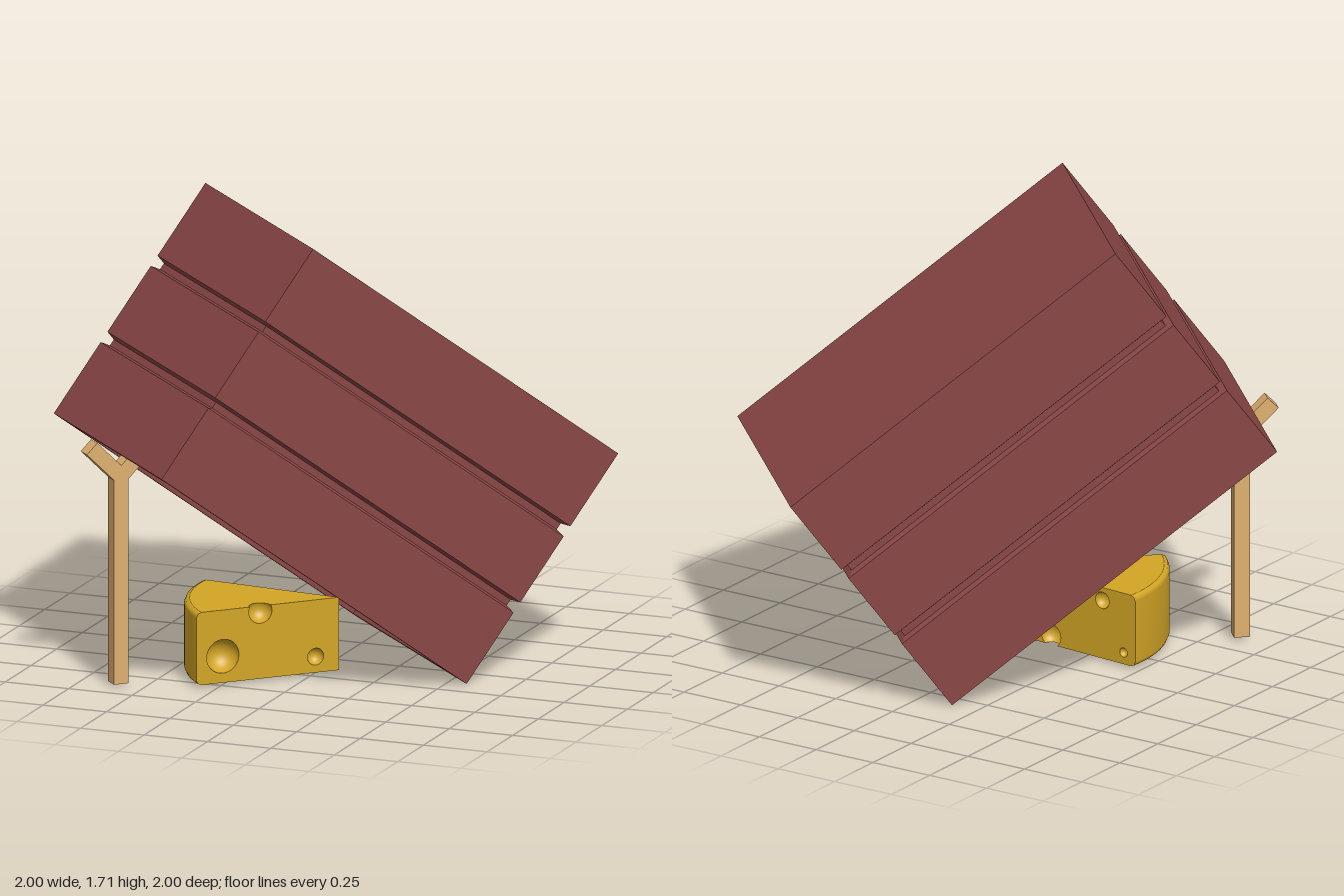
import * as THREE from 'three';

const mat = (name, color, side = THREE.FrontSide) => {
  const m = new THREE.MeshStandardMaterial({ color, side });
  m.name = name;
  return m;
};

const add = (parent, name, geometry, material) => {
  const mesh = new THREE.Mesh(geometry, material);
  mesh.name = name;
  parent.add(mesh);
  return mesh;
};

// Hollow, open-bottomed box: rectangular loops swept along an [inset, y] profile
function crateGeometry(length, width, height, wall, grooves) {
  const profile = [[wall, height - wall], [wall, 0], [0, 0]];
  for (const g of grooves) {
    profile.push([0, g], [0.026, g + 0.008], [0.026, g + 0.034], [0, g + 0.045]);
  }
  profile.push([0, height]);
  const rings = profile.map(([inset, y]) => {
    const a = length / 2 - inset, b = width / 2 - inset;
    return [[-a, y, b], [a, y, b], [a, y, -b], [-a, y, -b]];
  });
  const pos = [];
  const quad = (a, b, c, d) => pos.push(...a, ...b, ...c, ...a, ...c, ...d);
  for (let i = 0; i + 1 < rings.length; i++) {
    for (let k = 0; k < 4; k++) {
      const n = (k + 1) % 4;
      quad(rings[i][k], rings[i][n], rings[i + 1][n], rings[i + 1][k]);
    }
  }
  quad(...rings[rings.length - 1]);
  quad(...[...rings[0]].reverse());
  const geo = new THREE.BufferGeometry();
  geo.setAttribute('position', new THREE.Float32BufferAttribute(pos, 3));
  geo.computeVertexNormals();
  return geo;
}

// Wedge dimensions and round dents: u from the tip, v up, radius r
const R = 0.565, H = 0.275, BEVEL = 0.02, ANGLE = THREE.MathUtils.degToRad(50);
const rind = [[R - BEVEL, 0], [R - 0.006, 0.006], [R, BEVEL],
  [R, H - BEVEL], [R - 0.006, H - 0.006], [R - BEVEL, H]];
const dentsA = [{ u: 0.46, v: 0.10, r: 0.064 }, { u: 0.092, v: 0.06, r: 0.032 }, { u: 0.311, v: 0.255, r: 0.046 }];
const dentsB = [{ u: 0.17, v: 0.035, r: 0.045 }, { u: 0.41, v: 0.225, r: 0.032 }, { u: 0.51, v: 0.045, r: 0.018 }];
const cutsBottom = d => d.v < d.r;
const cutsTop = d => H - d.v < d.r;

// Flat cut side, with holes and edge notches where the dents are
function sideShape(dents) {
  const s = new THREE.Shape();
  s.moveTo(0, 0);
  for (const d of dents.filter(cutsBottom)) {
    const a = Math.asin(d.v / d.r);
    s.lineTo(d.u - d.r * Math.cos(a), 0);
    s.absarc(d.u, d.v, d.r, Math.PI + a, -a, true);
  }
  rind.forEach(([x, y]) => s.lineTo(x, y));
  for (const d of dents.filter(cutsTop)) {
    const a = Math.asin((H - d.v) / d.r);
    s.lineTo(d.u + d.r * Math.cos(a), H);
    s.absarc(d.u, d.v, d.r, a, Math.PI - a, true);
  }
  s.lineTo(0, H);
  s.closePath();
  for (const d of dents.filter(d => !cutsTop(d) && !cutsBottom(d))) {
    s.holes.push(new THREE.Path().absarc(d.u, d.v, d.r, 0, Math.PI * 2, true));
  }
  return s;
}

// Sector-shaped top or bottom, notched where dents break through
function capShape(y, cuts) {
  const chord = d => Math.sqrt(d.r ** 2 - (y - d.v) ** 2);
  const s = new THREE.Shape();
  s.moveTo(0, 0);
  for (const d of dentsA.filter(cuts)) {
    s.lineTo(d.u - chord(d), 0);
    s.absarc(d.u, 0, chord(d), Math.PI, 0, true);
  }
  s.lineTo(R - BEVEL, 0);
  s.absarc(0, 0, R - BEVEL, 0, ANGLE, false);
  for (const d of dentsB.filter(cuts)) {
    const c = Math.cos(ANGLE), n = Math.sin(ANGLE);
    s.lineTo((d.u + chord(d)) * c, (d.u + chord(d)) * n);
    s.absarc(d.u * c, d.u * n, chord(d), ANGLE, ANGLE - Math.PI, true);
  }
  s.closePath();
  return s;
}

function cheeseWedge(material) {
  const group = new THREE.Group();
  group.name = 'cheeseWedge';
  // Cut sides with spherical dents
  [[dentsA, 0, 0], [dentsB, -ANGLE, Math.PI]].forEach(([dents, turn, phi]) => {
    const side = new THREE.Group();
    side.name = 'cheeseSide';
    side.rotation.y = turn;
    add(side, 'cutFace', new THREE.ShapeGeometry(sideShape(dents), 20), material);
    for (const d of dents) {
      const t0 = cutsTop(d) ? Math.acos((H - d.v) / d.r) : 0;
      const t1 = cutsBottom(d) ? Math.acos(-d.v / d.r) : Math.PI;
      const bowl = new THREE.SphereGeometry(d.r, 20, 16, phi, Math.PI, t0, t1 - t0);
      add(side, 'cheeseHole', bowl, material).position.set(d.u, d.v, 0);
    }
    group.add(side);
  });
  // Top and bottom
  [[0, cutsBottom], [H, cutsTop]].forEach(([y, cuts]) => {
    const cap = new THREE.ShapeGeometry(capShape(y, cuts), 24).rotateX(Math.PI / 2);
    add(group, y ? 'cheeseTop' : 'cheeseBottom', cap, material).position.y = y;
  });
  // Curved rind with softened rims
  const points = rind.map(([x, y]) => new THREE.Vector2(x, y));
  add(group, 'cheeseRind', new THREE.LatheGeometry(points, 24, Math.PI / 2 - ANGLE, ANGLE), material);
  return group;
}

export function createModel() {
  const model = new THREE.Group();
  model.name = 'boxTrap';
  const red = mat('crateRed', 0x8a4646);
  const wood = mat('stickWood', 0xdeb070);
  const yellow = mat('cheeseYellow', 0xd4a626, THREE.DoubleSide);

  // Crate tilted up about its rear ground edge
  const tilt = new THREE.Group();
  tilt.name = 'tiltedCrate';
  tilt.position.set(0.215, 0, -0.215);
  tilt.rotation.set(0, -Math.PI * 0.75, 0.6395);
  tilt.rotation.order = 'YXZ';
  const crate = crateGeometry(1.508, 1.01, 1.008, 0.06, [0.312, 0.645]);
  add(tilt, 'crate', crate, red).position.x = 0.754;
  model.add(tilt);

  // Forked prop stick
  const stick = new THREE.Group();
  stick.name = 'propStick';
  stick.position.set(-0.603, 0.01, 0.63);
  stick.rotation.y = -Math.PI * 0.75;
  const T = 0.058;
  add(stick, 'post', new THREE.BoxGeometry(T, 0.8, T), wood).position.y = 0.4;
  for (const sgn of [-1, 1]) {
    const prong = new THREE.BoxGeometry(T, 0.164, T).translate(0, 0.082, 0);
    const mesh = add(stick, 'prong', prong, wood);
    mesh.position.y = 0.785;
    mesh.rotation.z = sgn * Math.PI / 4;
  }
  model.add(stick);

  // Cheese bait
  const cheese = cheeseWedge(yellow);
  cheese.position.set(0.08, 0.01, 0.17);
  cheese.rotation.y = -Math.PI * 0.75;
  model.add(cheese);

  return model;
}
